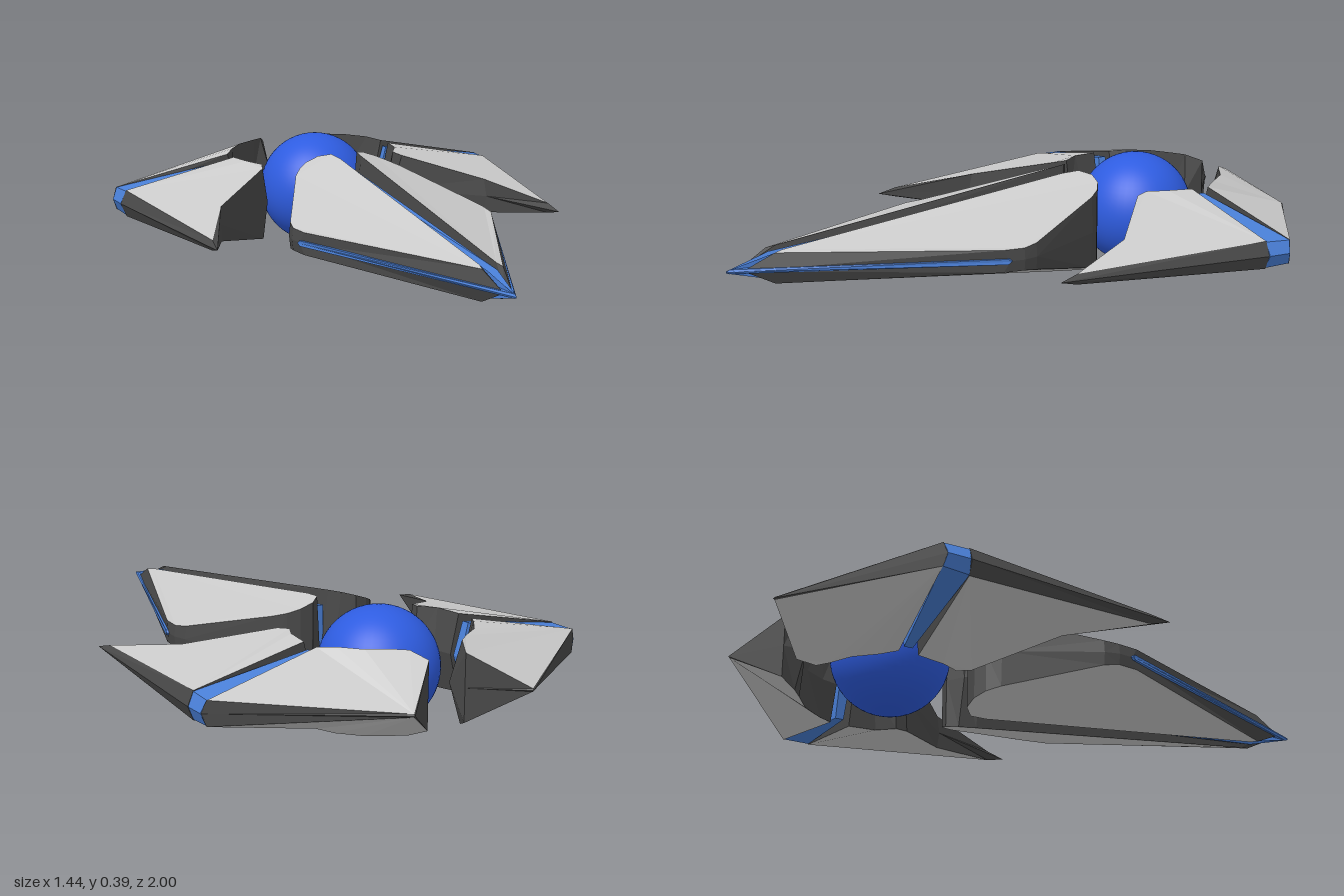
import * as THREE from 'three';

const MID = 0.2; // height of the horizontal symmetry plane
const material = (color) => new THREE.MeshStandardMaterial({ color, flatShading: true });
const GREY = material(0xcccccc);
const DARK = material(0x484848);
const BLUE = material(0x4a80d8);

function meshOf(name, positions, mat) {
  const geometry = new THREE.BufferGeometry();
  geometry.setAttribute('position', new THREE.Float32BufferAttribute(positions, 3));
  geometry.computeVertexNormals();
  const mesh = new THREE.Mesh(geometry, mat);
  mesh.name = name;
  return mesh;
}

// Faceted body mirrored about MID. Each point is [x, y, z, rimX, rimZ]:
// a corner of the top panel and the matching corner of the rim at MID.
function shell(name, points, side, panelMat, wallMat) {
  let pts = points.map(([x, y, z, rx = x, rz = z]) => ({
    top: new THREE.Vector3(x * side, y, z),
    rim: new THREE.Vector3(rx * side, MID, rz),
  }));
  const flat = (list) => list.map((p) => new THREE.Vector2(p.top.x, p.top.z));
  if (THREE.ShapeUtils.area(flat(pts)) > 0) pts = pts.reverse();

  const panels = [], walls = [];
  const flip = (v) => new THREE.Vector3(v.x, 2 * MID - v.y, v.z);
  const add = (out, a, b, c) => {
    for (const v of [a, b, c, flip(a), flip(c), flip(b)]) out.push(v.x, v.y, v.z);
  };

  // Panels
  for (const [i, j, k] of THREE.ShapeUtils.triangulateShape(flat(pts), [])) {
    const [a, b, c] = [pts[i].top, pts[j].top, pts[k].top];
    const up = b.clone().sub(a).cross(c.clone().sub(a)).y > 0;
    if (up) add(panels, a, b, c);
    else add(panels, a, c, b);
  }
  // Walls from the panel edge to the rim
  pts.forEach((p, i) => {
    const q = pts[(i + 1) % pts.length];
    add(walls, p.rim, q.rim, q.top);
    add(walls, p.rim, q.top, p.top);
  });

  const group = new THREE.Group();
  group.name = name;
  group.add(meshOf(name + 'Panels', panels, panelMat), meshOf(name + 'Walls', walls, wallMat));
  return group;
}

// Long front spike, one half
const SPIKE = [
  [0.035, 0.25, 0.85, 0.014, 0.95],
  [0.335, 0.237, 0.2, 0.343, 0.18],
  [0.345, 0.237, 0.13, 0.35, 0.13],
  [0.335, 0.244, 0.08, 0.34, 0.08],
  [0.195, 0.322, -0.22, 0.2, -0.22],
  [0.165, 0.335, -0.26],
  [0.13, 0.35, -0.285],
  [0.085, 0.366, -0.29],
  [0.048, 0.376, -0.26, 0.03, -0.25],
  [0.04, 0.372, -0.2, 0.014, -0.2],
  [0.028, 0.255, 0.82, 0.012, 0.9],
];

// Blue blades crossing inside the spike
const SPIKE_FIN = [
  [-0.018, 0.325, -0.2], [0.018, 0.325, -0.2],
  [0.016, 0.242, 0.85], [0, 0.203, 1], [-0.016, 0.242, 0.85],
];
const SPIKE_SEAM = [
  [0, 0.207, 0.99, 0, 1], [0.347, 0.209, 0.19, 0.35, 0.18],
  [0.03, 0.209, -0.2], [-0.03, 0.209, -0.2],
  [-0.347, 0.209, 0.19, -0.35, 0.18],
];

// Side wing: forward prong, rear blade and the blue band between them
const WING_FRONT = [
  [0.3, 0.33, -0.55, 0.27, -0.55],
  [0.695, 0.246, -0.557, 0.715, -0.557],
  [0.608, 0.217, 0.1, 0.615, 0.165],
  [0.49, 0.26, -0.15, 0.495, -0.14],
  [0.265, 0.325, -0.355, 0.24, -0.375],
  [0.25, 0.33, -0.4, 0.235, -0.41],
  [0.285, 0.333, -0.46, 0.26, -0.48],
];
const WING_REAR = [
  [0.3, 0.328, -0.615, 0.27, -0.61],
  [0.265, 0.335, -0.665, 0.255, -0.665],
  [0.21, 0.335, -0.735],
  [0.14, 0.335, -0.78],
  [0.1, 0.333, -0.81, 0.07, -0.79],
  [0.07, 0.31, -0.865],
  [0.225, 0.205, -0.995, 0.225, -1],
  [0.705, 0.24, -0.645, 0.72, -0.635],
];
const WING_BAND = [
  [0.3, 0.31, -0.598, 0.27, -0.6],
  [0.3, 0.31, -0.57, 0.27, -0.565],
  [0.695, 0.243, -0.556, 0.715, -0.56],
  [0.703, 0.239, -0.646, 0.72, -0.636],
];

export function createModel() {
  const model = new THREE.Group();
  model.name = 'spikedCraft';

  // Core sphere
  const core = new THREE.Mesh(
    new THREE.SphereGeometry(0.195, 48, 32),
    new THREE.MeshStandardMaterial({ color: 0x2e5ce0 }),
  );
  core.name = 'coreSphere';
  core.position.set(0, MID, -0.527);
  model.add(core);

  // Mirrored spike halves and wings
  for (const [label, side] of [['left', 1], ['right', -1]]) {
    model.add(
      shell(label + 'Spike', SPIKE, side, GREY, DARK),
      shell(label + 'WingFront', WING_FRONT, side, GREY, DARK),
      shell(label + 'WingRear', WING_REAR, side, GREY, DARK),
      shell(label + 'WingBand', WING_BAND, side, BLUE, BLUE),
    );
  }

  // Central blades of the spike
  model.add(
    shell('spikeFin', SPIKE_FIN, 1, BLUE, BLUE),
    shell('spikeSeam', SPIKE_SEAM, 1, BLUE, BLUE),
  );
  return model;
}
